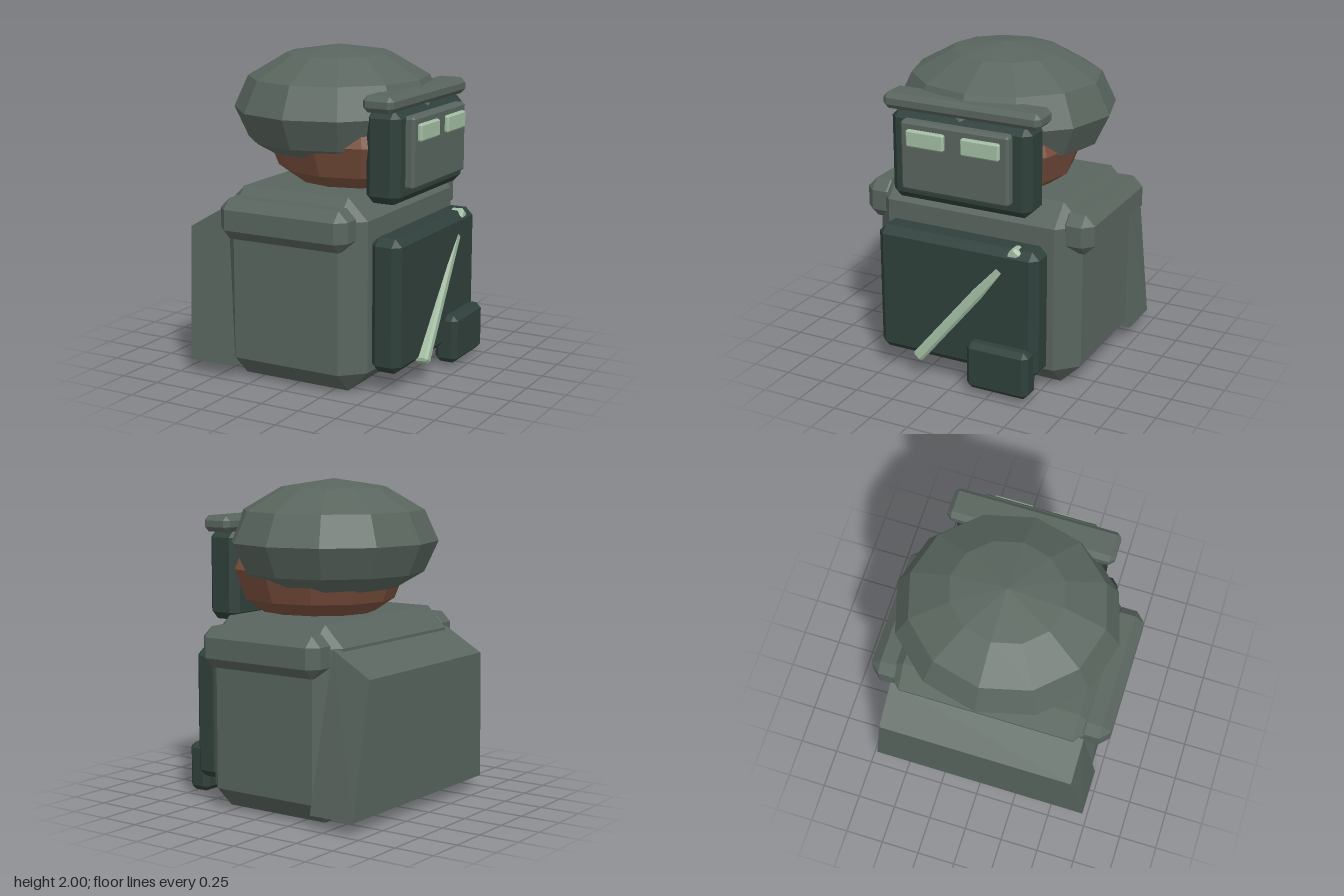
import * as THREE from 'three';
import { ConvexGeometry } from 'three/addons/geometries/ConvexGeometry.js';

const paint = (color) => new THREE.MeshStandardMaterial({ color, flatShading: true });

// Box with flat chamfers on all edges, centred on the origin
function chamferBox(w, h, d, c) {
  const points = [];
  const [x, y, z] = [w / 2, h / 2, d / 2];
  for (const i of [-1, 1]) for (const j of [-1, 1]) for (const k of [-1, 1]) {
    points.push(
      new THREE.Vector3(i * x, j * (y - c), k * (z - c)),
      new THREE.Vector3(i * (x - c), j * y, k * (z - c)),
      new THREE.Vector3(i * (x - c), j * (y - c), k * z)
    );
  }
  return new ConvexGeometry(points);
}

export function createModel() {
  const model = new THREE.Group();
  model.name = 'bust';
  const cloth = paint(0x59655e);
  const dark = paint(0x2f403b);
  const pale = paint(0xa3bda3);
  const skin = paint(0x7a4f3d);

  function add(name, geometry, material) {
    const mesh = new THREE.Mesh(geometry, material);
    mesh.name = name;
    model.add(mesh);
    return mesh;
  }

  // Chamfered block given by its [min, max] on each axis
  function block(name, [x0, x1], [y0, y1], [z0, z1], c, material) {
    const mesh = add(name, chamferBox(x1 - x0, y1 - y0, z1 - z0, c), material);
    mesh.position.set((x0 + x1) / 2, (y0 + y1) / 2, (z0 + z1) / 2);
  }

  // Low-poly ellipsoid
  function ball(name, radii, centre, material) {
    const mesh = add(name, new THREE.SphereGeometry(1, 12, 6).scale(...radii), material);
    mesh.position.set(...centre);
  }

  // Body and cape
  block('torso', [-0.51, 0.465], [0, 1.18], [-0.69, 0.69], 0.13, cloth);
  const cape = [];
  for (const s of [-1, 1]) {
    cape.push(
      new THREE.Vector3(-0.735, 0.9, s * 0.62),
      new THREE.Vector3(-0.48, 1.05, s * 0.62),
      new THREE.Vector3(-0.385, 0.08, s * 0.72),
      new THREE.Vector3(-0.69, 0.08, s * 0.72)
    );
  }
  add('cape', new ConvexGeometry(cape), cloth);

  // Shoulder pads
  block('leftShoulderPad', [-0.455, 0.415], [0.88, 1.13], [0.55, 0.77], 0.062, cloth);
  block('rightShoulderPad', [-0.455, 0.415], [0.88, 1.13], [-0.77, -0.55], 0.062, cloth);

  // Chest panel with pouch
  block('chestPanel', [0.455, 0.655], [0.13, 0.95], [-0.535, 0.54], 0.047, dark);
  block('pouch', [0.58, 0.73], [0.03, 0.335], [-0.51, -0.1], 0.032, dark);

  // Diagonal strap, sunk into the panel at its upper end
  const low = new THREE.Vector3(0.668, 0.14, 0.25);
  const high = new THREE.Vector3(0.598, 0.948, -0.405);
  const along = high.clone().sub(low);
  const strap = add('strap', chamferBox(0.09, along.length(), 0.07, 0.015), pale);
  strap.position.copy(low).add(high).multiplyScalar(0.5);
  const up = along.clone().normalize();
  const side = new THREE.Vector3(1, 0, 0).cross(up).normalize();
  const out = up.clone().cross(side);
  strap.quaternion.setFromRotationMatrix(new THREE.Matrix4().makeBasis(out, up, side));

  // Head and cap
  ball('head', [0.565, 0.38, 0.535], [0.085, 1.45, 0], skin);
  ball('cap', [0.635, 0.38, 0.68], [-0.04, 1.62, 0], cloth);

  // Face mask
  block('mask', [0.375, 0.6], [1.13, 1.685], [-0.46, 0.46], 0.047, dark);
  block('maskPlate', [0.575, 0.655], [1.215, 1.645], [-0.355, 0.355], 0.016, cloth);
  block('maskBrim', [0.39, 0.59], [1.675, 1.775], [-0.515, 0.515], 0.03, cloth);
  block('leftEye', [0.635, 0.68], [1.495, 1.6], [0.055, 0.305], 0.01, pale);
  block('rightEye', [0.635, 0.68], [1.495, 1.6], [-0.305, -0.055], 0.01, pale);

  return model;
}
